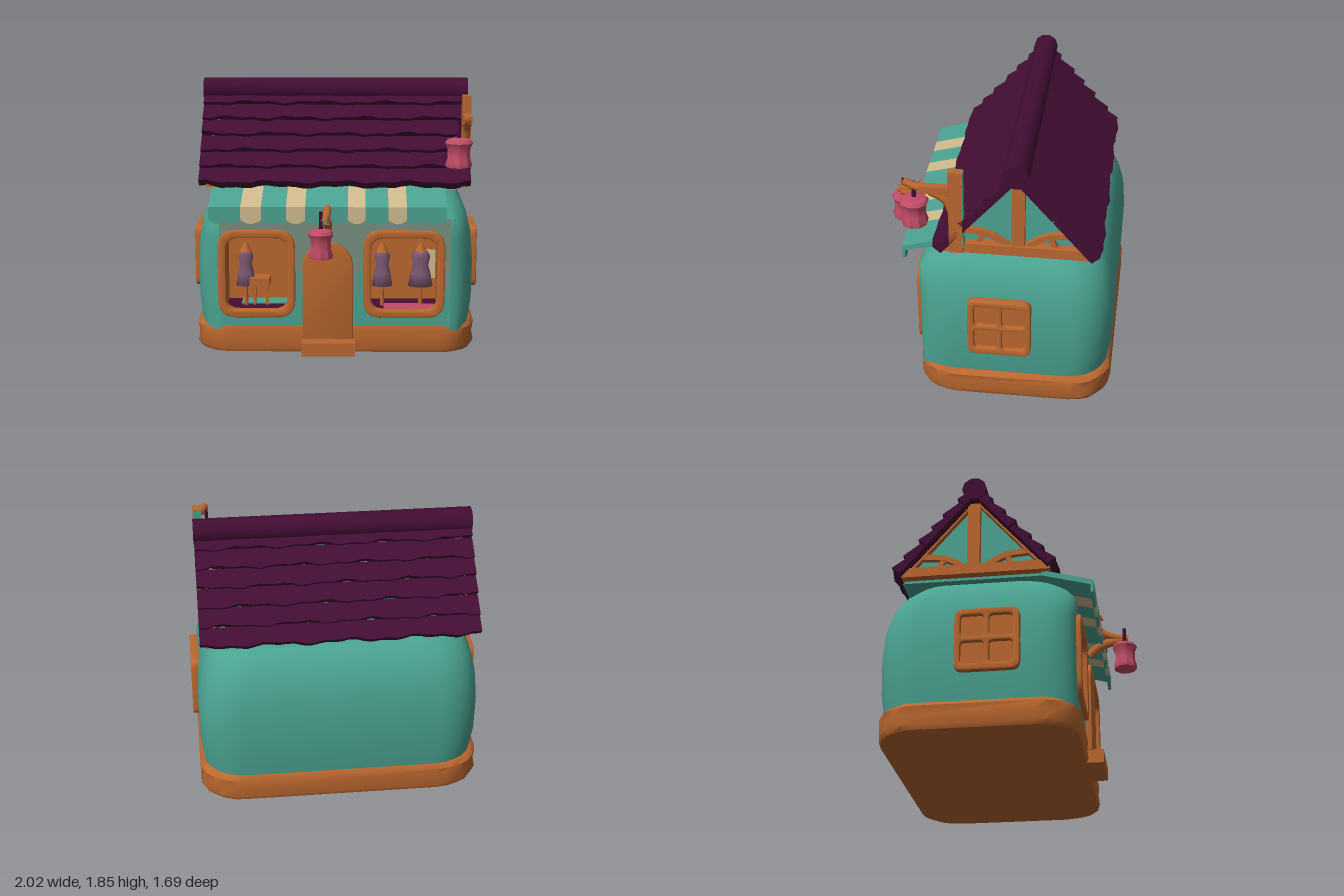
import * as THREE from 'three';
import { toCreasedNormals } from 'three/addons/utils/BufferGeometryUtils.js';

const mat = (name, color, side = THREE.FrontSide) => {
  const m = new THREE.MeshStandardMaterial({ color, side });
  m.name = name;
  return m;
};

export function createModel() {
  const root = new THREE.Group();
  root.name = 'shop';
  const teal = mat('teal', 0x4aa392), wood = mat('wood', 0xba672f), plum = mat('plum', 0x430d33),
    cream = mat('cream', 0xd0ba8c), rose = mat('rose', 0xc24c66, THREE.DoubleSide), mauve = mat('mauve', 0x7c5872),
    grey = mat('greyGreen', 0x76907f), mid = mat('paleTeal', 0x60998a);

  const add = (name, geo, m, x = 0, y = 0, z = 0, parent = root) => {
    const mesh = new THREE.Mesh(geo, m);
    mesh.name = name;
    mesh.position.set(x, y, z);
    parent.add(mesh);
    return mesh;
  };
  const box = (name, m, x0, x1, y0, y1, z0, z1) =>
    add(name, new THREE.BoxGeometry(x1 - x0, y1 - y0, z1 - z0), m, (x0 + x1) / 2, (y0 + y1) / 2, (z0 + z1) / 2);
  const extrude = (shape, depth, bevel = 0) => toCreasedNormals(new THREE.ExtrudeGeometry(shape, {
    depth, curveSegments: 8, bevelEnabled: bevel > 0, bevelSize: bevel, bevelThickness: bevel, bevelSegments: 2, bevelOffset: -bevel }), 0.7);

  // Rounded rectangle outline
  const roundRect = (x0, x1, y0, y1, r, S = THREE.Shape) => {
    const s = new S();
    s.moveTo(x0 + r, y0);
    s.lineTo(x1 - r, y0); s.quadraticCurveTo(x1, y0, x1, y0 + r);
    s.lineTo(x1, y1 - r); s.quadraticCurveTo(x1, y1, x1 - r, y1);
    s.lineTo(x0 + r, y1); s.quadraticCurveTo(x0, y1, x0, y1 - r);
    s.lineTo(x0, y0 + r); s.quadraticCurveTo(x0, y0, x0 + r, y0);
    return s;
  };
  // Arched outline
  const arch = (cx, h, y0, yTop, S = THREE.Shape) => {
    const s = new S();
    s.moveTo(cx - h, y0); s.lineTo(cx + h, y0); s.lineTo(cx + h, yTop - h);
    s.absarc(cx, yTop - h, h, 0, Math.PI, false);
    s.lineTo(cx - h, y0);
    return s;
  };
  // Strip of constant width along a smooth line
  const ribbon = (pts, w) => {
    const c = new THREE.SplineCurve(pts.map(p => new THREE.Vector2(...p))), a = [], b = [];
    for (let i = 0; i <= 8; i++) {
      const p = c.getPoint(i / 8), t = c.getTangent(i / 8);
      a.push(new THREE.Vector2(p.x + t.y * w / 2, p.y - t.x * w / 2));
      b.unshift(new THREE.Vector2(p.x - t.y * w / 2, p.y + t.x * w / 2));
    }
    return new THREE.Shape([...a, ...b]);
  };
  // Flat part drawn in (-z, y), thickness along x
  const sidePart = (name, shape, depth, x, m = wood, bevel = 0) => add(name, extrude(shape, depth, bevel).rotateY(Math.PI / 2), m, x);

  // Loft through rounded-rectangle rows [y, halfWidth, zFront, zBack, frontHalf]; open(y) leaves the front out
  const loft = (rows, rz, open, wobble = 0) => {
    const pos = [], idx = [], n = 6, N = 4 * (n + 1);
    for (const [y, hw, zf, zb, fs] of rows) {
      const rx = hw - fs, q = [];
      for (let i = 0; i <= n; i++) {
        const a = i / n * Math.PI / 2;
        q.push([fs + rx * Math.sin(a), zf - rz + rz * Math.cos(a)]);
      }
      for (let i = 0; i <= n; i++) {
        const a = i / n * Math.PI / 2;
        q.push([hw - 0.3 + 0.3 * Math.cos(a), zb + rz - rz * Math.sin(a)]);
      }
      const all = [...q, ...q.slice().reverse().map(([x, z]) => [-x, z])];
      all.forEach(([x, z], i) => {
        const k = 1 + wobble * Math.sin(i * 2.3 + y * 40);
        pos.push(x * k, y, z * k);
      });
    }
    for (let r = 0; r < rows.length - 1; r++) for (let i = 0; i < N; i++) {
      if (i === N - 1 && open(rows[r][0])) continue;
      const a = r * N + i, b = r * N + (i + 1) % N;
      idx.push(a, b, b + N, a, b + N, a + N);
    }
    const bottom = pos.length / 3, top = bottom + 1, last = (rows.length - 1) * N;
    pos.push(0, rows[0][0], -0.17, 0, rows[rows.length - 1][0], -0.17);
    for (let i = 0; i < N; i++) {
      const j = (i + 1) % N;
      idx.push(j, i, bottom, last + i, last + j, top);
    }
    const g = new THREE.BufferGeometry();
    g.setAttribute('position', new THREE.Float32BufferAttribute(pos, 3));
    g.setIndex(idx);
    g.computeVertexNormals();
    return toCreasedNormals(g, 0.8);
  };

  // Plinth and bulging walls
  add('plinth', loft([[0, 0.965, 0.485, -0.83, 0.72], [0.03, 0.98, 0.495, -0.84, 0.73], [0.1, 0.972, 0.49, -0.835, 0.73],
    [0.16, 0.98, 0.495, -0.84, 0.73], [0.19, 0.955, 0.485, -0.82, 0.72]], 0.27, () => false, 0.004), wood);
  add('walls', loft([[0.15, 0.94, 0.48, -0.81, 0.8], [0.35, 0.965, 0.48, -0.835, 0.8], [0.6, 0.97, 0.48, -0.84, 0.8],
    [0.8, 0.955, 0.48, -0.825, 0.8], [0.95, 0.92, 0.48, -0.785, 0.8], [1.03, 0.88, 0.43, -0.74, 0.74],
    [1.1, 0.82, 0.36, -0.68, 0.66], [1.14, 0.74, 0.28, -0.6, 0.55]], 0.28, y => y < 0.94), teal);

  // Shop front around the two window openings
  const windows = [[-0.81, -0.275], [0.195, 0.76]], inset = 0.045, wy0 = 0.25, wy1 = 0.87;
  box('shopFrontBase', teal, -0.8, 0.8, 0.15, wy0 + inset, 0.46, 0.48);
  box('shopFrontTop', grey, -0.8, 0.8, wy1 - inset, 0.95, 0.46, 0.48);
  for (const [y0, y1, m] of [[0.295, 0.42, teal], [0.42, 0.58, mid], [0.58, 0.825, grey]])
    for (const [x0, x1] of [[-0.8, -0.765], [-0.32, 0.24], [0.715, 0.8]]) box('shopFrontPier', m, x0, x1, y0, y1, 0.46, 0.48);

  // Display windows with a lined recess
  windows.forEach(([x0, x1], i) => {
    const s = roundRect(x0, x1, wy0, wy1, 0.13);
    s.holes.push(roundRect(x0 + 0.055, x1 - 0.055, wy0 + 0.055, wy1 - 0.055, 0.09, THREE.Path));
    add('windowFrame', extrude(s, 0.05, 0.012), wood, 0, 0, 0.45);
    const a = x0 + inset, b = x1 - inset;
    box('displayBack', wood, a, b, 0.28, 0.84, 0.13, 0.15);
    box('displaySide', wood, a - 0.02, a, 0.28, 0.84, 0.13, 0.46);
    box('displaySide', wood, b, b + 0.02, 0.28, 0.84, 0.13, 0.46);
    box('displayCeiling', wood, a, b, 0.825, 0.845, 0.13, 0.46);
    box('displayFloor', plum, a, b, 0.275, 0.295, 0.13, 0.46);
    box('displayRug', i ? rose : teal, a + 0.1, b - 0.02, 0.295, 0.302, i ? 0.3 : 0.16, i ? 0.45 : 0.3);
  });
  box('displayNote', cream, 0.63, 0.712, 0.45, 0.66, 0.15, 0.157);

  // Dress forms and stool
  const dress = [[0.001, 0], [0.075, 0], [0.06, 0.09], [0.045, 0.15], [0.058, 0.21], [0.04, 0.25], [0.001, 0.26]].map(p => new THREE.Vector2(...p));
  for (const [x, k] of [[-0.63, 0.95], [0.33, 1], [0.6, 1.2]]) {
    add('dress', new THREE.LatheGeometry(dress, 10), mauve, x, 0.44, 0.32).scale.set(k, 1, k * 0.8);
    add('dressNeck', new THREE.CylinderGeometry(0.012, 0.045, 0.06, 8), wood, x, 0.71, 0.32);
    add('dressStand', new THREE.CylinderGeometry(0.012, 0.018, 0.16, 6), wood, x, 0.37, 0.32);
  }
  box('stoolSeat', wood, -0.6, -0.46, 0.44, 0.5, 0.25, 0.38);
  for (const x of [-0.57, -0.48]) box('stoolLeg', wood, x - 0.01, x + 0.01, 0.295, 0.44, 0.3, 0.33);

  // Door and step
  const doorFrame = arch(-0.05, 0.175, 0.1, 0.79);
  doorFrame.holes.push(arch(-0.05, 0.12, 0.11, 0.735, THREE.Path));
  add('doorFrame', extrude(doorFrame, 0.06, 0.01), wood, 0, 0, 0.455);
  add('door', extrude(arch(-0.05, 0.13, 0.1, 0.745), 0.035), teal, 0, 0, 0.465);
  const pane = roundRect(-0.135, 0.025, 0.43, 0.65, 0.03);
  pane.holes.push(roundRect(-0.11, 0, 0.455, 0.625, 0.04, THREE.Path));
  add('doorWindowTrim', extrude(pane, 0.008), cream, 0, 0, 0.5);
  add('doorWindow', extrude(roundRect(-0.115, 0.005, 0.45, 0.63, 0.04), 0.004), wood, 0, 0, 0.5);
  add('doorKnob', new THREE.SphereGeometry(0.018, 8, 6), wood, 0.04, 0.4, 0.51);
  box('step', wood, -0.23, 0.14, 0, 0.095, 0.4, 0.6);

  // Side windows and gable timbers on both ends
  const sideFrame = roundRect(-0.13, 0.3, 0.38, 0.82, 0.06);
  for (const a of [-0.085, 0.105]) for (const y of [0.43, 0.62])
    sideFrame.holes.push(roundRect(a, a + 0.155, y, y + 0.155, 0.03, THREE.Path));
  const tri = new THREE.Shape([[-0.31, 1.12], [0.69, 1.12], [0.19, 1.74]].map(p => new THREE.Vector2(...p)));
  sidePart('attic', tri, 1.68, -0.84, teal);
  for (const s of [1, -1]) {
    const at = (x, d) => s > 0 ? x : -x - d;
    sidePart('sideWindowFrame', sideFrame, 0.06, at(0.938, 0.06), wood, 0.01);
    sidePart('sideWindowPane', roundRect(-0.1, 0.27, 0.41, 0.79, 0.03), 0.03, at(0.945, 0.03));
    sidePart('gableBeam', ribbon([[-0.32, 1.175], [0.69, 1.175]], 0.07), 0.08, at(0.82, 0.08), wood);
    sidePart('gablePost', ribbon([[0.2, 1.2], [0.2, 1.7]], 0.085), 0.06, at(0.83, 0.06), wood);
    for (const m of [1, -1]) {
      const line = (pts, w) => ribbon(pts.map(([u, y]) => [0.19 + m * u, y]), w);
      sidePart('gableRafter', line([[0.49, 1.17], [0.01, 1.73]], 0.05), 0.05, at(0.83, 0.05));
      sidePart('gableBrace', line([[0.36, 1.3], [0.2, 1.28], [0.05, 1.19]], 0.04), 0.045, at(0.83, 0.045));
      sidePart('gableStrut', line([[0.26, 1.19], [0.22, 1.27]], 0.035), 0.04, at(0.83, 0.04));
    }
  }

  // Roof: overlapping shingle rows with ragged lower edges
  const rows = 6, slope = 0.856, sn = Math.sin(slope), cs = Math.cos(slope);
  for (const s of [0, 1]) {
    const side = new THREE.Group();
    side.name = s ? 'roofBack' : 'roofFront';
    side.position.set(-0.005, 1.76, -0.19);
    side.rotation.y = s * Math.PI;
    root.add(side);
    for (let r = 0; r < rows; r++) {
      const g = new THREE.BoxGeometry(1.89, 1, 1, 36, 1, 1), p = g.attributes.position;
      for (let i = 0; i < p.count; i++) {
        const x = p.getX(i), low = p.getZ(i) > 0, topSide = p.getY(i) > 0;
        const jag = 0.009 * Math.sin(x * 13 + r * 2.1) + 0.007 * Math.sin(x * 31 + r * 4 + s);
        const u = low ? (r + 1) * 0.8 / rows + jag : r * 0.8 / rows;
        const v = topSide ? (low ? 0.048 : 0.015) : -0.025;
        p.setXYZ(i, x, v * cs - u * sn, u * cs + v * sn);
      }
      add('shingleRow', toCreasedNormals(g, 0.5), plum, 0, 0, 0, side);
    }
  }
  add('ridgeCap', toCreasedNormals(new THREE.CylinderGeometry(0.085, 0.085, 1.9, 10).rotateZ(Math.PI / 2), 0.8), plum, -0.005, 1.768, -0.19);

  // Striped awning with scalloped valance
  const edges = [-0.86, -0.64, -0.5, -0.33, -0.2, 0.09, 0.21, 0.365, 0.49, 0.76];
  const slab = new THREE.Shape([[-0.26, 1.15], [-0.26, 1.11], [-0.59, 1.02], [-0.605, 1.055]].map(p => new THREE.Vector2(...p)));
  for (let i = 0; i < 9; i++) {
    const x0 = edges[i], w = edges[i + 1] - x0, n = Math.round(w / 0.13), m = i % 2 ? cream : teal;
    sidePart('awningStripe', slab, w, x0, m);
    const v = new THREE.Shape();
    v.moveTo(x0, 1.055); v.lineTo(x0, 0.965);
    for (let k = 1; k <= n; k++) v.quadraticCurveTo(x0 + w * (k - 0.5) / n, 0.91, x0 + w * k / n, 0.965);
    v.lineTo(x0 + w, 1.055);
    add('awningValance', extrude(v, 0.02), m, 0, 0, 0.585);
  }

  // Hanging lanterns on brackets
  const shade = [[0.001, 0], [0.088, 0], [0.092, 0.02], [0.076, 0.07], [0.078, 0.13], [0.098, 0.165], [0.085, 0.185], [0.03, 0.2], [0.001, 0.2]];
  const lantern = (x, y, z, k) => {
    add('lantern', toCreasedNormals(new THREE.LatheGeometry(shade.map(p => new THREE.Vector2(...p)), 9), 0.6), rose, x, y, z).scale.set(k, 1, k);
    add('lanternHook', new THREE.CylinderGeometry(0.012, 0.016, 0.13, 6), plum, x, y + 0.25, z);
  };
  const tube = (name, pts, r) => add(name, new THREE.TubeGeometry(
    new THREE.CatmullRomCurve3(pts.map(p => new THREE.Vector3(...p))), 12, r, 6), wood);
  lantern(0.84, 1.315, 0.49, 1);
  box('signPost', wood, 0.88, 0.94, 1.16, 1.77, 0.16, 0.25);
  box('signPostBack', teal, 0.882, 0.938, 1.2, 1.765, 0.153, 0.16);
  box('signArm', wood, 0.88, 0.935, 1.6, 1.65, 0.24, 0.44);
  tube('signBrace', [[0.91, 1.46, 0.23], [0.91, 1.55, 0.27], [0.91, 1.61, 0.37]], 0.028);
  tube('signArmTip', [[0.91, 1.625, 0.42], [0.87, 1.62, 0.49], [0.85, 1.63, 0.55]], 0.028);
  lantern(-0.09, 0.74, 0.76, 0.9);
  tube('doorLampArm', [[-0.05, 0.87, 0.5], [-0.05, 0.93, 0.56], [-0.05, 0.97, 0.66], [-0.06, 0.97, 0.77]], 0.03);
  tube('doorLampTop', [[-0.05, 1.05, 0.6], [-0.055, 1.01, 0.68], [-0.07, 0.98, 0.79]], 0.028);
  return root;
}
